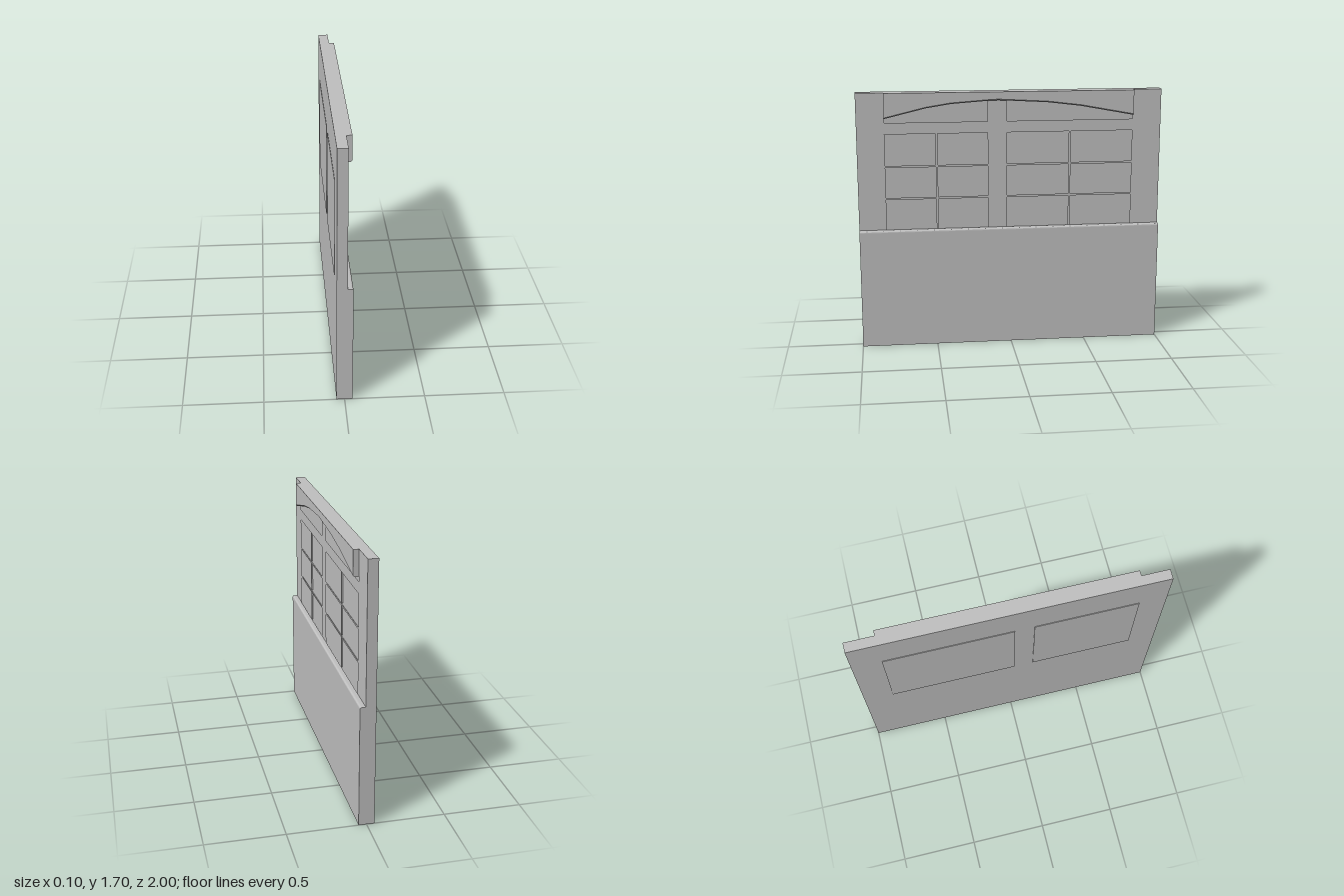
import * as THREE from 'three';

const BACK = -0.05, GLASS = 0.004, FACE = 0.015, FRONT = 0.05;
const BASE_TOP = 0.79, TOP = 1.7;
// Two window bays, as [z min, z max]
const BAYS = [[-0.81, 0.025], [0.15, 0.82]];

export function createModel() {
  const group = new THREE.Group();
  group.name = 'wallPanel';
  const grey = new THREE.MeshStandardMaterial({ color: 0xc0c0c0 });
  grey.name = 'plain grey';

  const add = (name, geometry) => {
    const mesh = new THREE.Mesh(geometry, grey);
    mesh.name = name;
    group.add(mesh);
    return mesh;
  };
  // Box from its limits on each axis
  const box = (name, x0, x1, y0, y1, z0, z1) => {
    const g = new THREE.BoxGeometry(x1 - x0, y1 - y0, z1 - z0);
    g.translate((x0 + x1) / 2, (y0 + y1) / 2, (z0 + z1) / 2);
    return add(name, g);
  };
  // Outline points are [z, y]; the sheet is extruded along x
  const points = (list) => list.map(([z, y]) => new THREE.Vector2(-z, y));
  const rect = (z0, z1, y0, y1) => [[z0, y0], [z1, y0], [z1, y1], [z0, y1]];
  const sheet = (outline, holes, x0, x1, steps = 1) => {
    const shape = new THREE.Shape(points(outline));
    for (const h of holes) shape.holes.push(new THREE.Path(points(h)));
    const g = new THREE.ExtrudeGeometry(shape, { depth: x1 - x0, steps, bevelEnabled: false });
    g.rotateY(Math.PI / 2);
    g.translate(x0, 0, 0);
    return g;
  };

  // Solid wall core; its front shows as the recessed panes
  box('wallCore', BACK, GLASS, 0, TOP, -1, 1);

  // Front frame with openings for panes and transoms
  const holes = [];
  const bar = 0.007;
  for (const [z0, z1] of BAYS) {
    const zm = (z0 + z1) / 2, rowH = (1.43 - BASE_TOP) / 3;
    for (let r = 0; r < 3; r++) {
      const y0 = BASE_TOP + r * rowH + (r > 0 ? bar : 0);
      const y1 = BASE_TOP + (r + 1) * rowH - (r < 2 ? bar : 0);
      holes.push(rect(z0, zm - bar, y0, y1), rect(zm + bar, z1, y0, y1));
    }
    holes.push(rect(z0, z1, 1.505, 1.66));
  }
  add('windowFrame', sheet(rect(-1, 1, 0, TOP), holes, GLASS, FACE));

  // Shallow window plates on the rear
  for (const [z0, z1] of BAYS) box('rearWindow', BACK - 0.004, BACK, BASE_TOP, 1.43, z0, z1);

  // Lower cladding with a softened top edge
  const r = 0.012;
  const profile = new THREE.Shape();
  profile.moveTo(FACE, 0);
  profile.lineTo(FRONT, 0);
  profile.lineTo(FRONT, BASE_TOP + 0.005 - r);
  profile.quadraticCurveTo(FRONT, BASE_TOP + 0.005, FRONT - r, BASE_TOP + 0.005);
  profile.lineTo(FACE, BASE_TOP + 0.005);
  const cladding = new THREE.ExtrudeGeometry(profile, { depth: 2, bevelEnabled: false, curveSegments: 4 });
  cladding.translate(0, 0, -1);
  add('lowerCladding', cladding);

  // Arched header, with the front lower edge chamfered
  const arch = sheet([
    [0.82, TOP], [0.82, 1.535], [0.55, 1.6], [0.39, 1.625], [0.15, 1.642], [0.085, 1.645],
    [0.025, 1.642], [-0.24, 1.627], [-0.46, 1.6], [-0.81, 1.535], [-0.81, TOP],
  ], [], FACE, FRONT, 4);
  const p = arch.attributes.position;
  for (let i = 0; i < p.count; i++) {
    if (p.getX(i) > FRONT - 0.001 && p.getY(i) < TOP - 0.01) p.setY(i, p.getY(i) + 0.008);
  }
  arch.computeVertexNormals();
  add('archedHeader', arch);

  return group;
}
